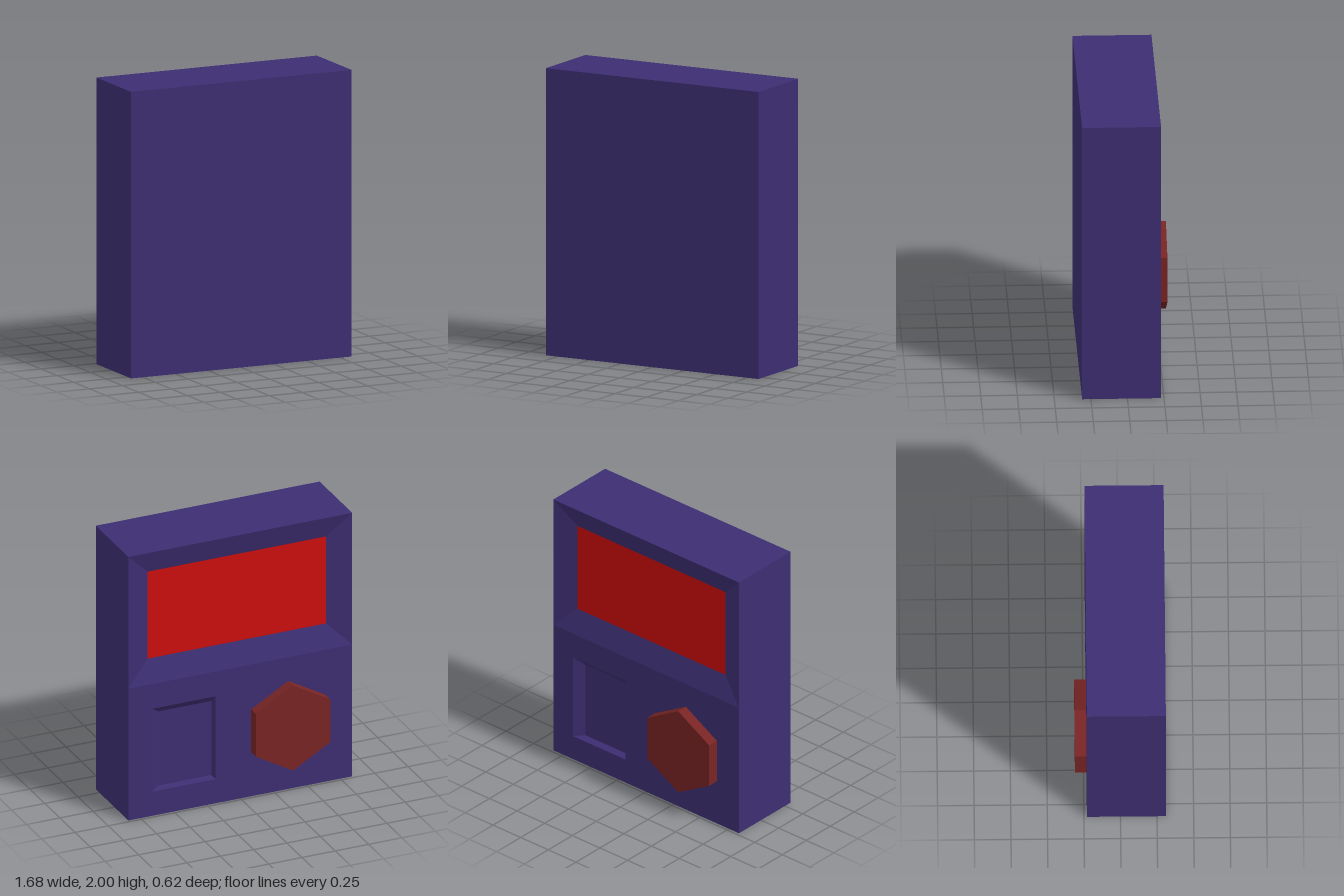
import * as THREE from 'three';

// Rectangle in the xy plane at depth z, corners counter-clockwise seen from +z
const rect = (x0, x1, y0, y1, z) => [[x0, y0, z], [x1, y0, z], [x1, y1, z], [x0, y1, z]];

// Four flat walls joining rectangle a to rectangle b
function walls(a, b) {
  const pts = [];
  for (let i = 0; i < 4; i++) {
    const j = (i + 1) % 4;
    pts.push(a[i], a[j], b[j], a[i], b[j], b[i]);
  }
  return fromPoints(pts);
}

// Flat face filling a rectangle, facing +z
const face = (r) => fromPoints([r[0], r[1], r[2], r[0], r[2], r[3]]);

function fromPoints(pts) {
  const geo = new THREE.BufferGeometry();
  geo.setAttribute('position', new THREE.Float32BufferAttribute(pts.flat(), 3));
  geo.computeVertexNormals();
  return geo;
}

export function createModel() {
  const model = new THREE.Group();
  model.name = 'handheldDevice';
  const purple = new THREE.MeshStandardMaterial({ color: 0x3d2e72 });
  purple.name = 'purple casing';
  const red = new THREE.MeshStandardMaterial({ color: 0xcc0d0d });
  red.name = 'bright red screen';
  const maroon = new THREE.MeshStandardMaterial({ color: 0x782424 });
  maroon.name = 'maroon dial';

  // The detailed face is built toward +z, then the device is turned around
  const device = new THREE.Group();
  device.name = 'device';
  device.rotation.y = Math.PI;
  model.add(device);
  const add = (name, geo, mat) => {
    const mesh = new THREE.Mesh(geo, mat);
    mesh.name = name;
    device.add(mesh);
    return mesh;
  };

  const W = 0.84, H = 2, Z = 0.23, BASE = -0.31;

  // Casing sides and plain panel
  add('casingSides', walls(rect(-W, W, 0, H, BASE), rect(-W, W, 0, H, Z)), purple);
  const plain = new THREE.PlaneGeometry(W * 2, H).rotateY(Math.PI).translate(0, H / 2, BASE);
  add('plainPanel', plain, purple);

  // Sloping bezel and sunken screen
  const screen = rect(-0.67, 0.67, 1.17, 1.83, Z - 0.057);
  add('screenBezel', walls(rect(-W, W, 1, H, Z), screen), purple);
  add('screen', face(screen), red);

  // Control panel with an opening for the pocket
  const pocket = rect(-0.66, -0.185, 0.183, 0.812, Z);
  const toShape = (r, Type) => new Type(r.map(([x, y]) => new THREE.Vector2(x, y)));
  const panel = toShape(rect(-W, W, 0, 1, Z), THREE.Shape);
  panel.holes.push(toShape(pocket, THREE.Path));
  add('controlPanel', new THREE.ShapeGeometry(panel).translate(0, 0, Z), purple);

  // Pocket with unevenly sloped walls
  const floor = rect(-0.593, -0.195, 0.195, 0.757, Z - 0.05);
  add('pocketWalls', walls(pocket, floor), purple);
  add('pocketFloor', face(floor), purple);

  // Six-sided dial, point up
  const dial = new THREE.CylinderGeometry(0.323, 0.323, 0.08, 6).toNonIndexed();
  dial.rotateX(-Math.PI / 2);
  dial.computeVertexNormals();
  add('dial', dial, maroon).position.set(0.36, 0.497, Z + 0.04);

  return model;
}
